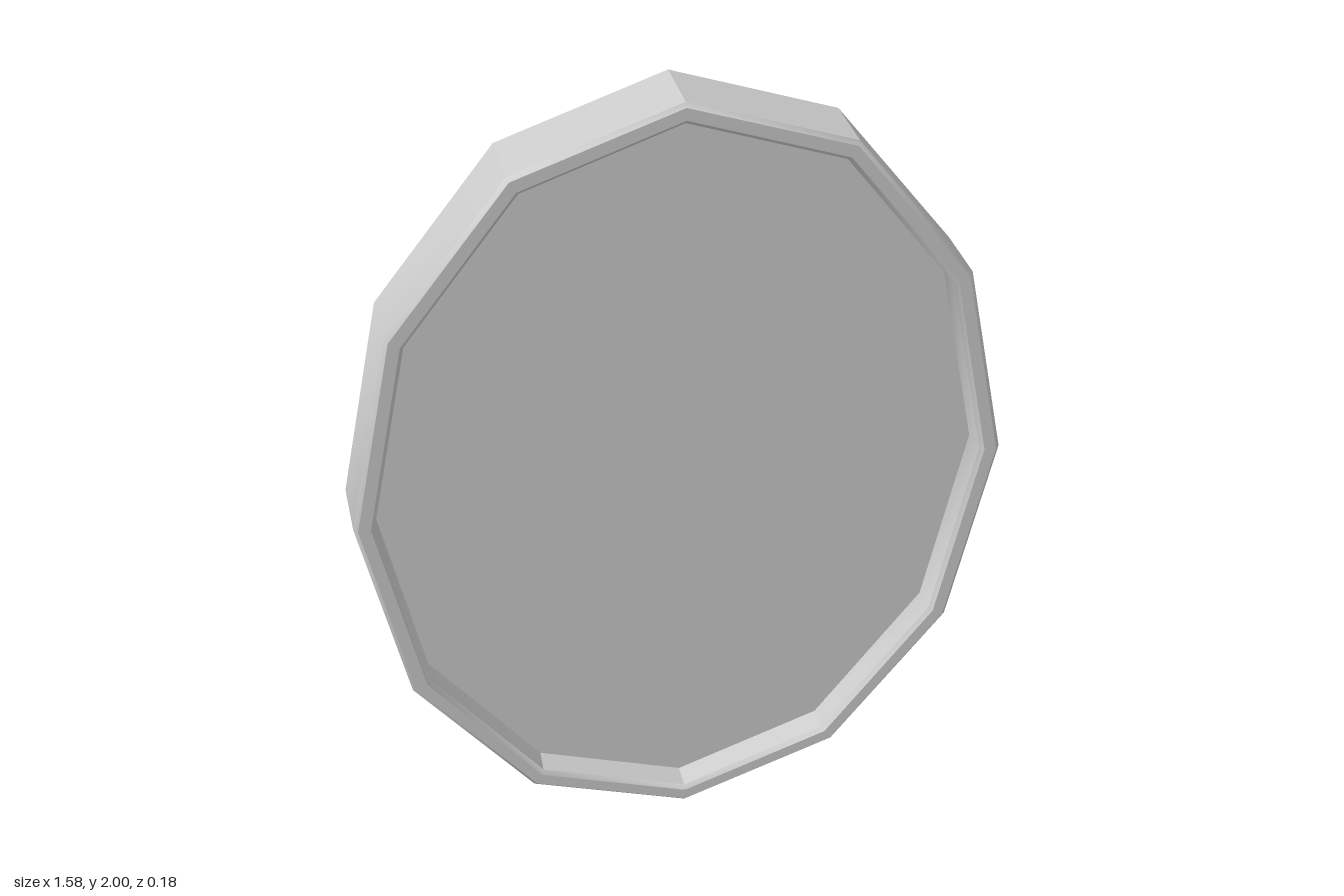
import * as THREE from 'three';
import { toCreasedNormals } from 'three/addons/utils/BufferGeometryUtils.js';

const SIDES = 12;
const NARROW = 0.21; // the oval is this much less in half-width than in half-height
const material = new THREE.MeshStandardMaterial({ color: 0xcccccc });

// Sweeps [vertical radius, z] points around a twelve-sided oval of constant inset.
function ovalPart(name, profile) {
  const geometry = new THREE.LatheGeometry(profile.map(([r, z]) => new THREE.Vector2(r, z)), SIDES);
  geometry.rotateX(Math.PI / 2);
  const p = geometry.attributes.position;
  for (let i = 0; i < p.count; i++) {
    const r = Math.hypot(p.getX(i), p.getY(i));
    if (r > NARROW) p.setX(i, p.getX(i) * (r - NARROW) / r);
  }
  const mesh = new THREE.Mesh(toCreasedNormals(geometry, Math.PI / 6), material);
  mesh.name = name;
  mesh.position.y = 1;
  return mesh;
}

export function createModel() {
  const model = new THREE.Group();
  model.name = 'ovalPlaque';

  // Bevelled front rim with a thin outer wall, hollow behind
  model.add(ovalPart('frame', [
    [0.945, 0.03], [0.997, 0.03], [0.997, -0.09], [1, -0.09],
    [1, 0.08], [0.99, 0.09], [0.96, 0.09], [0.95, 0.08], [0.945, 0.02],
  ]));

  // Recessed plate, standing proud of the hollow at the back
  model.add(ovalPart('panel', [
    [0, -0.03], [0.935, -0.03], [0.946, 0.02], [0, 0.02],
  ]));

  return model;
}
